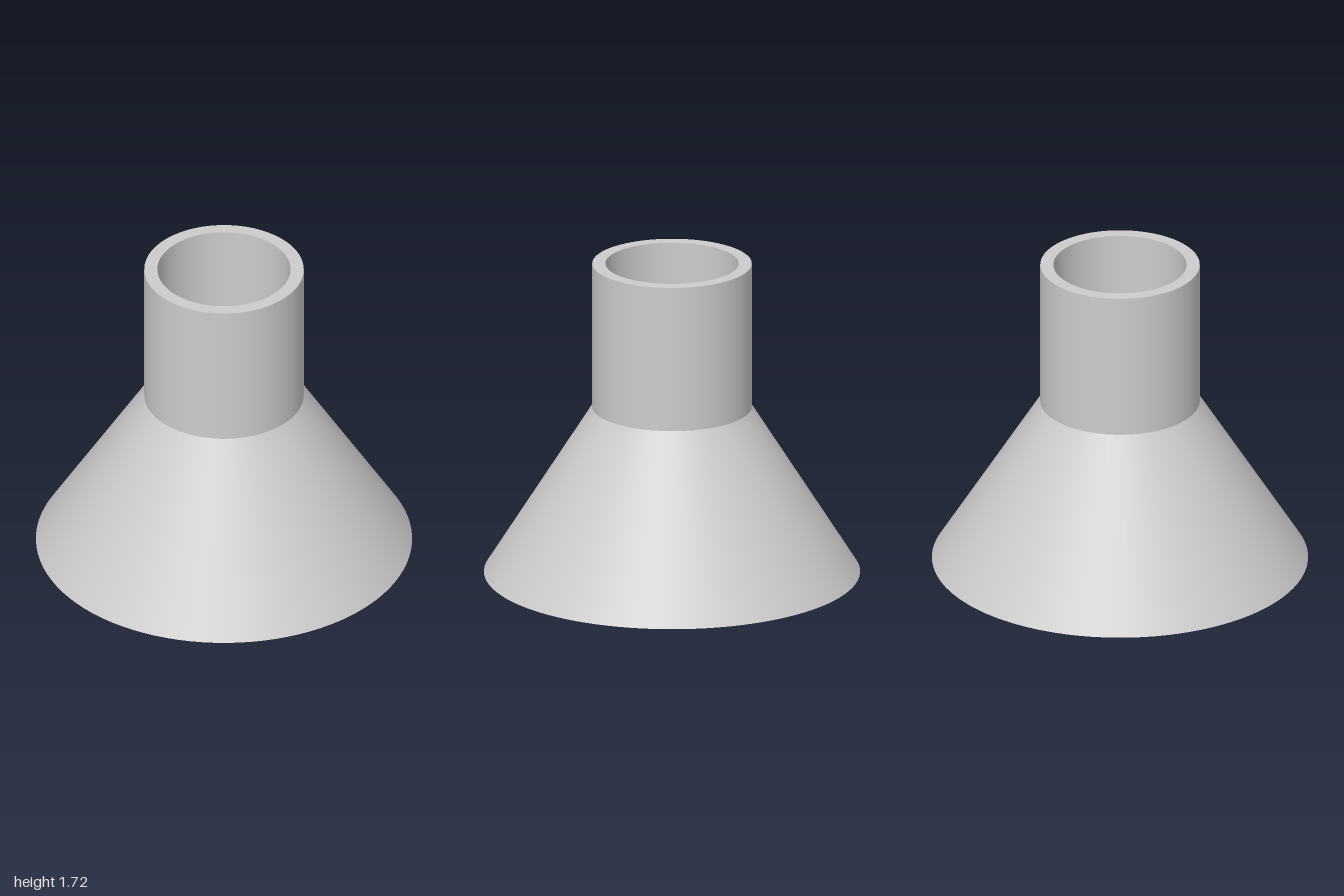
import * as THREE from 'three';

const grey = new THREE.MeshStandardMaterial({ color: 0xcccccc });
grey.name = 'plain grey';

// One smooth band of revolution between two [radius, height] points; edges between bands stay sharp
function band(name, a, b) {
  const points = [new THREE.Vector2(...a), new THREE.Vector2(...b)];
  const mesh = new THREE.Mesh(new THREE.LatheGeometry(points, 96), grey);
  mesh.name = name;
  return mesh;
}

export function createModel() {
  const model = new THREE.Group();
  model.name = 'funnel';

  const baseOuter = [1, 0], baseInner = [0.947, 0];
  const shoulder = [0.424, 0.92], coneTop = [0.407, 0.86];
  const neckOuter = [0.424, 1.72], neckInner = [0.354, 1.72];
  const ledge = [0.354, 0.92];
  const throatTop = [0.272, 0.92], throatBottom = [0.272, 0.86];

  // Flared cone with an even wall, open at the bottom
  const cone = new THREE.Group();
  cone.name = 'cone';
  cone.add(
    band('coneOuterWall', baseOuter, shoulder),
    band('coneInnerWall', coneTop, baseInner),
    band('coneBottomRim', baseInner, baseOuter),
  );

  // Straight neck
  const neck = new THREE.Group();
  neck.name = 'neck';
  neck.add(
    band('neckOuterWall', shoulder, neckOuter),
    band('neckTopRim', neckOuter, neckInner),
    band('neckInnerWall', neckInner, ledge),
  );

  // Thin ring that narrows the passage between neck and cone
  const throat = new THREE.Group();
  throat.name = 'throatRing';
  throat.add(
    band('throatLedge', ledge, throatTop),
    band('throatWall', throatTop, throatBottom),
    band('throatUnderside', throatBottom, coneTop),
  );

  model.add(cone, neck, throat);
  return model;
}
